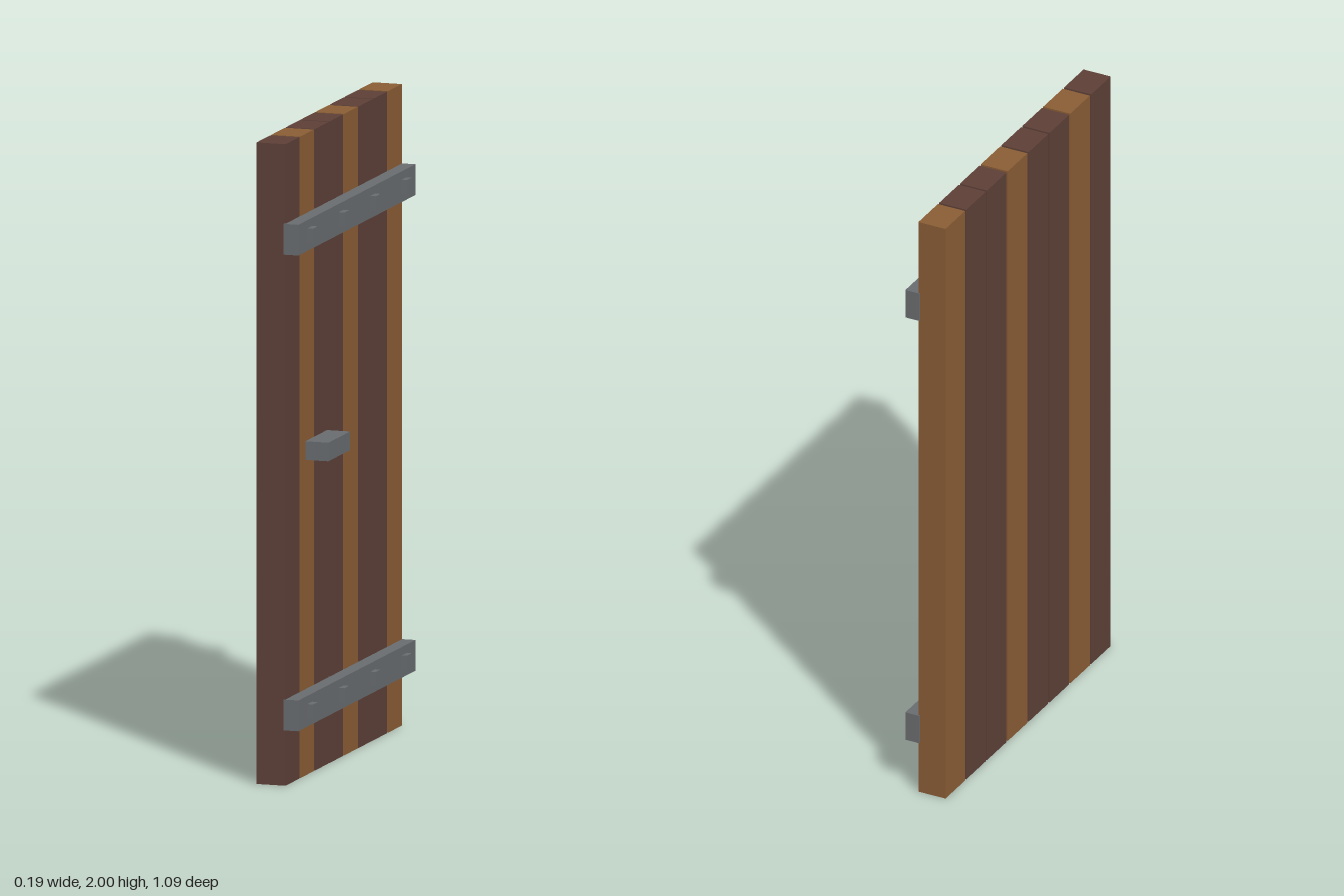
import * as THREE from 'three';

const material = (name, color) => {
  const m = new THREE.MeshStandardMaterial({ color });
  m.name = name;
  return m;
};

// Box given by its minimum and maximum along each axis
function box(name, mat, [x0, x1], [y0, y1], [z0, z1]) {
  const mesh = new THREE.Mesh(new THREE.BoxGeometry(x1 - x0, y1 - y0, z1 - z0), mat);
  mesh.position.set((x0 + x1) / 2, (y0 + y1) / 2, (z0 + z1) / 2);
  mesh.name = name;
  return mesh;
}

export function createModel() {
  const darkWood = material('dark wood', 0x5d4037);
  const lightWood = material('light wood', 0x8a5d35);
  const iron = material('iron', 0x696c6f);

  const door = new THREE.Group();
  door.name = 'plankDoor';

  // Eight upright planks with narrow gaps, every third one lighter
  const pitch = 0.1368, width = 0.1285;
  for (let i = 0; i < 8; i++) {
    const z = (i - 3.5) * pitch;
    door.add(box('plank', i % 3 === 0 ? lightWood : darkWood,
      [-0.094, 0], [0, 2], [z - width / 2, z + width / 2]));
  }

  // Two iron straps, each with four square bolts
  for (const y of [0.221, 1.704]) {
    const strap = new THREE.Group();
    strap.name = 'strap';
    strap.add(box('strapBar', iron, [-0.005, 0.043], [y - 0.048, y + 0.048], [-0.547, 0.547]));
    for (const z of [-0.44, -0.147, 0.147, 0.44]) {
      strap.add(box('bolt', iron, [0.018, 0.061], [y - 0.022, y + 0.022], [z - 0.022, z + 0.022]));
    }
    door.add(strap);
  }

  // Handle bar
  door.add(box('handle', iron, [0.018, 0.093], [0.994, 1.052], [0.207, 0.41]));

  return door;
}
